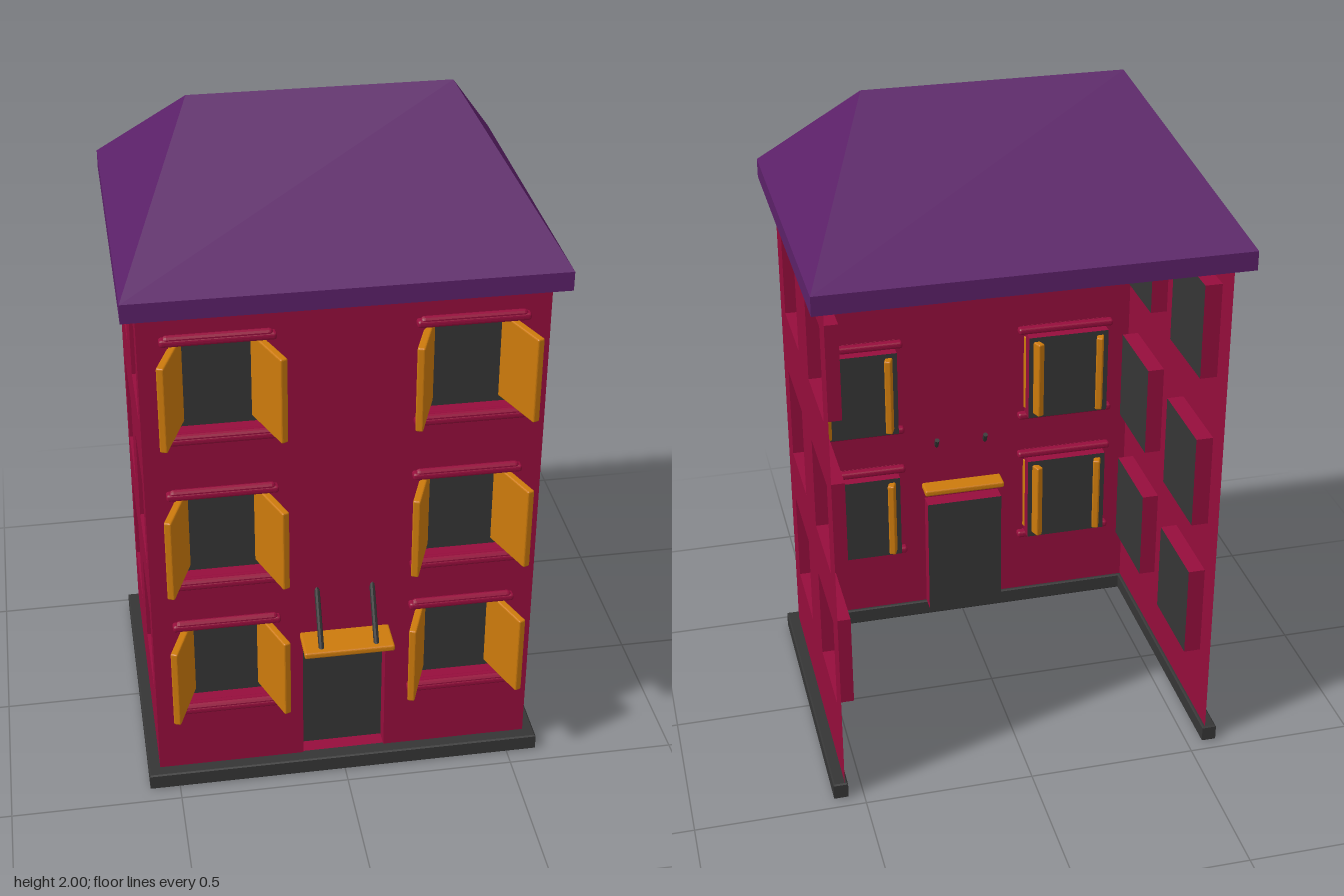
import * as THREE from 'three';
import { RoundedBoxGeometry } from 'three/addons/geometries/RoundedBoxGeometry.js';

const paint = (color) => new THREE.MeshStandardMaterial({ color, side: THREE.DoubleSide, flatShading: true });
const RED = paint(0x960d3c), PURPLE = paint(0x5c2169), DARK = paint(0x353535), ORANGE = paint(0xcc7a0c);

const WALL_X = 0.555, FRONT_Z = 0.415, BACK_Z = -0.46, WALL_TOP = 1.6;
const FLOORS = [0.423, 0.87, 1.35]; // window centre heights
const WIN_W = 0.26, WIN_H = 0.285, DEPTH = 0.05;

function add(parent, name, geometry, material, x = 0, y = 0, z = 0) {
  const mesh = new THREE.Mesh(geometry, material);
  mesh.name = name;
  mesh.position.set(x, y, z);
  parent.add(mesh);
  return mesh;
}

function rect(Type, x0, y0, x1, y1) {
  return new Type([[x0, y0], [x1, y0], [x1, y1], [x0, y1]].map((p) => new THREE.Vector2(...p)));
}

// Thin wall facing +z, with openings that have recessed panes
function makeWall(name, halfWidth, openings) {
  const wall = new THREE.Group();
  wall.name = name;
  const shape = rect(THREE.Shape, -halfWidth, 0.02, halfWidth, WALL_TOP);
  for (const { x, y, w, h, pane } of openings) {
    shape.holes.push(rect(THREE.Path, x - w / 2, y - h / 2, x + w / 2, y + h / 2));
    const reveal = new THREE.CylinderGeometry(Math.SQRT1_2, Math.SQRT1_2, 1, 4, 1, true);
    reveal.rotateY(Math.PI / 4).rotateX(Math.PI / 2).scale(w, h, DEPTH);
    add(wall, pane + 'Reveal', reveal, RED, x, y, -DEPTH / 2);
    add(wall, pane, new THREE.PlaneGeometry(w, h), DARK, x, y, -DEPTH);
  }
  add(wall, name + 'Panel', new THREE.ShapeGeometry(shape), RED);
  return wall;
}

// Shutters and moulded bars around one front window
function makeFrontTrim(x, y) {
  const trim = new THREE.Group();
  trim.name = 'windowTrim';
  trim.position.set(x, y, FRONT_Z);
  for (const side of [-1, 1]) {
    const shutter = add(trim, 'shutter', new RoundedBoxGeometry(0.022, 0.256, 0.19, 2, 0.005), ORANGE, side * 0.128, 0, 0.014);
    shutter.rotation.y = side * 0.36;
  }
  for (const [name, barY] of [['lintel', 0.152], ['sill', -0.152]]) {
    add(trim, name, new RoundedBoxGeometry(0.31, 0.022, 0.045, 2, 0.008), RED, 0, barY, 0);
    const bead = new THREE.CapsuleGeometry(0.011, 0.27, 4, 10).rotateZ(Math.PI / 2);
    add(trim, name + 'Bead', bead, RED, 0, barY + 0.009, 0.01);
  }
  return trim;
}

// Hipped roof on a hollow eaves ring
function makeRoof() {
  const roof = new THREE.Group();
  roof.name = 'roof';
  const X = 0.595, Z0 = -0.52, Z1 = 0.47, low = 1.59, eave = 1.645;
  const ring = rect(THREE.Shape, -X, -Z1, X, -Z0);
  ring.holes.push(rect(THREE.Path, -0.535, -0.4, 0.535, 0.46));
  const ringGeometry = new THREE.ExtrudeGeometry(ring, { depth: eave - low, bevelEnabled: false });
  add(roof, 'eaves', ringGeometry.rotateX(-Math.PI / 2), PURPLE, 0, low, 0);

  const hip = new THREE.BufferGeometry();
  hip.setAttribute('position', new THREE.Float32BufferAttribute([
    -X, eave, Z1, X, eave, Z1, X, eave, Z0, -X, eave, Z0,
    -0.365, 2, -0.025, 0.365, 2, -0.025,
  ], 3));
  hip.setIndex([0, 1, 5, 0, 5, 4, 1, 2, 5, 2, 3, 4, 2, 4, 5, 3, 0, 4]);
  const slopes = hip.toNonIndexed();
  slopes.computeVertexNormals();
  add(roof, 'roofSlopes', slopes, PURPLE);

  const ceiling = new THREE.PlaneGeometry(1.08, 0.87).rotateX(Math.PI / 2);
  add(roof, 'ceiling', ceiling, RED, 0, 1.635, -0.03);
  return roof;
}

export function createModel() {
  const house = new THREE.Group();
  house.name = 'townHouse';

  // Front wall with windows and door
  const frontOpenings = [{ x: 0, y: 0.25, w: 0.245, h: 0.4, pane: 'door' }];
  for (const y of FLOORS) {
    for (const x of [-0.342, 0.342]) {
      frontOpenings.push({ x, y, w: WIN_W, h: WIN_H, pane: 'window' });
      house.add(makeFrontTrim(x, y));
    }
  }
  const front = makeWall('frontWall', WALL_X, frontOpenings);
  front.position.z = FRONT_Z;
  house.add(front);

  // Side walls; the back stays open
  const midZ = (FRONT_Z + BACK_Z) / 2;
  for (const side of [-1, 1]) {
    const openings = [];
    for (const y of FLOORS) {
      for (const z of [0.192, -0.248]) {
        openings.push({ x: -side * (z - midZ), y, w: WIN_W, h: WIN_H, pane: 'window' });
      }
    }
    const wall = makeWall(side > 0 ? 'leftWall' : 'rightWall', (FRONT_Z - BACK_Z) / 2, openings);
    wall.rotation.y = side * Math.PI / 2;
    wall.position.set(side * WALL_X, 0, midZ);
    house.add(wall);
  }

  // U-shaped plinth around the foot of the walls
  const plinth = new THREE.Shape([
    [-0.585, 0.46], [-0.585, -0.447], [0.585, -0.447], [0.585, 0.46],
    [0.55, 0.46], [0.55, -0.41], [-0.55, -0.41], [-0.55, 0.46],
  ].map((p) => new THREE.Vector2(...p)));
  const plinthGeometry = new THREE.ExtrudeGeometry(plinth, {
    depth: 0.044, bevelThickness: 0.004, bevelSize: 0.004, bevelSegments: 1,
  });
  add(house, 'plinth', plinthGeometry.rotateX(-Math.PI / 2), DARK, 0, 0.004, 0);

  // Door canopy hung on two slanted rods
  add(house, 'canopy', new RoundedBoxGeometry(0.262, 0.02, 0.16, 2, 0.006), ORANGE, 0, 0.496, 0.437);
  for (const x of [-0.08, 0.08]) {
    const rod = add(house, 'canopyRod', new THREE.CylinderGeometry(0.008, 0.008, 0.19, 8), DARK, x, 0.58, 0.452);
    rod.rotation.x = -0.5;
  }

  house.add(makeRoof());
  return house;
}
